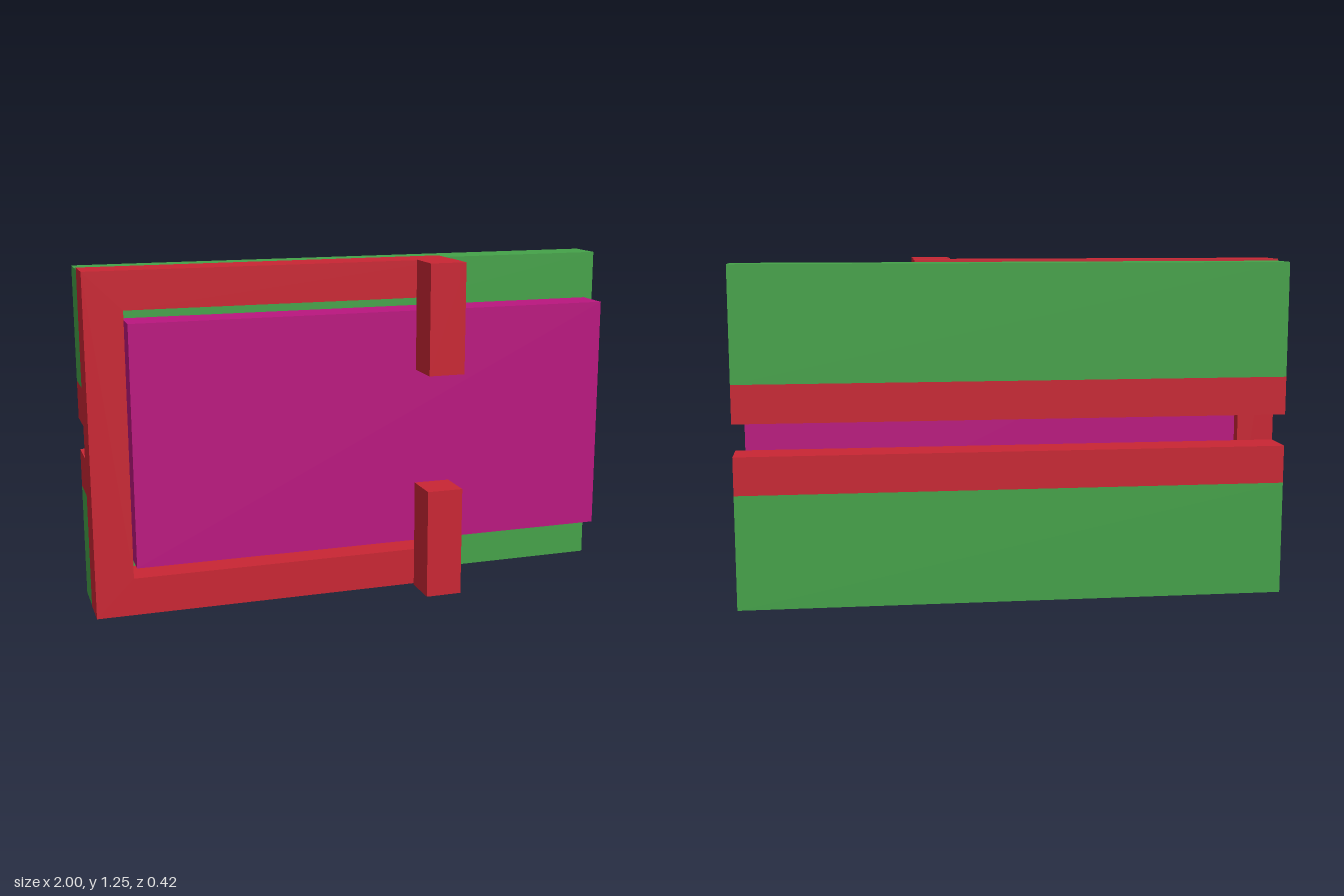
import * as THREE from 'three';

const material = (color) => new THREE.MeshStandardMaterial({ color });

export function createModel() {
  const model = new THREE.Group();
  const red = material(0xc92633);
  const green = material(0x45a249);
  const magenta = material(0xba167f);

  // Box given by its extents along each axis
  function block(name, [x0, x1], [y0, y1], [z0, z1], mat) {
    const mesh = new THREE.Mesh(new THREE.BoxGeometry(x1 - x0, y1 - y0, z1 - z0), mat);
    mesh.position.set((x0 + x1) / 2, (y0 + y1) / 2, (z0 + z1) / 2);
    mesh.name = name;
    model.add(mesh);
  }

  const middle = [-0.07, 0.07];
  const back = [-0.21, -0.07];
  const front = [0.07, 0.21];

  // C-shaped frame around the panel, open on one side
  const outline = new THREE.Shape([
    [-1, 0.006], [0.347, 0.006], [0.347, 0.144], [-0.863, 0.144],
    [-0.863, 1.11], [0.347, 1.11], [0.347, 1.247], [-1, 1.247],
  ].map(([x, y]) => new THREE.Vector2(x, y)));
  const frame = new THREE.Mesh(
    new THREE.ExtrudeGeometry(outline, { depth: 0.14, bevelEnabled: false }), red);
  frame.position.z = middle[0];
  frame.name = 'frame';
  model.add(frame);

  // Sliding panel held inside the frame
  block('panel', [-0.85, 0.965], [0.181, 1.063], middle, magenta);

  // Clips that reach over the front of the panel
  block('upperClip', [0.208, 0.344], [0.842, 1.249], front, red);
  block('lowerClip', [0.208, 0.344], [0, 0.408], front, red);

  // Back boards with edge rails either side of the slot
  block('upperBoard', [-1, 1], [0.823, 1.24], back, green);
  block('upperRail', [-1, 1], [0.684, 0.823], back, red);
  block('lowerRail', [-1, 1], [0.428, 0.567], back, red);
  block('lowerBoard', [-1, 1], [0.01, 0.428], back, green);

  return model;
}
